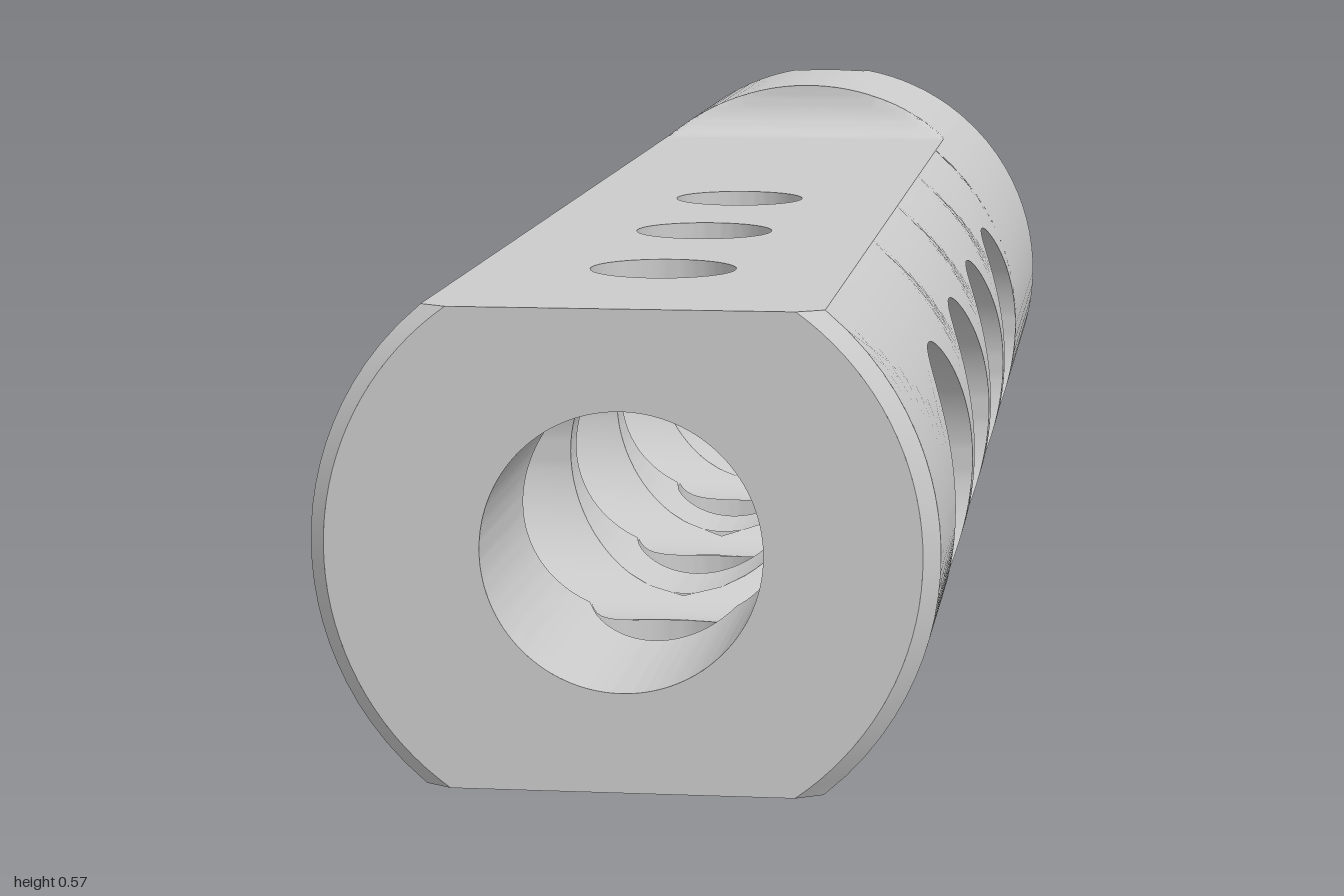
import * as THREE from 'three';
import { toCreasedNormals } from 'three/addons/utils/BufferGeometryUtils.js';

// Main dimensions, measured from the bore axis
const R = 0.285, BORE = 0.128, FLAT = 0.22, CHAMFER = 0.015;
const SIDE_R = 0.14, TOP_R = 0.07, NOTCH = 0.05;
const SIDE_Z = [0.634, 0.317, 0, -0.317], TOP_Z = [0.718, 0.409, 0.1];
const FRONT = 1 - CHAMFER;
const SIDE_END = -0.476, TOP_END = -0.055;      // where the drilled stretches stop
const RAMP_A = -0.62, RAMP_B = -0.67;           // concave ramp up to the rear collar

const arc = (r, t) => Math.sqrt(Math.max(0, r * r - t * t));
const lerp = THREE.MathUtils.lerp;
const FLAT_W = arc(R, FLAT);
const notchZ = x => -1 + arc(NOTCH, x);

// Adds a grid patch f(u, v) mirrored into all four quadrants;
// every triangle is wound to look along the direction facing(p).
function patch(out, nu, nv, f, facing) {
  const n = new THREE.Vector3(), e = new THREE.Vector3(), mid = new THREE.Vector3();
  const tri = (a, b, c) => {
    n.subVectors(b, a).cross(e.subVectors(c, a));
    if (n.length() < 1e-9) return;
    mid.copy(a).add(b).add(c).divideScalar(3);
    const pts = n.dot(facing(mid)) > 0 ? [a, b, c] : [a, c, b];
    for (const [sx, sy] of [[1, 1], [-1, 1], [1, -1], [-1, -1]]) {
      const order = sx * sy > 0 ? pts : [pts[0], pts[2], pts[1]];
      for (const p of order) out.push(p.x * sx, p.y * sy, p.z);
    }
  };
  const at = (i, j) => new THREE.Vector3(...f(i / nu, j / nv));
  for (let i = 0; i < nu; i++) {
    for (let j = 0; j < nv; j++) {
      const a = at(i, j), b = at(i + 1, j), c = at(i + 1, j + 1), d = at(i, j + 1);
      tri(a, b, c);
      tri(a, c, d);
    }
  }
}

// Splits the half turn round a hole at the corners of its rectangular cell
function cellSpans(back, front, h) {
  const a = Math.atan2(h, front), b = Math.PI - Math.atan2(h, back);
  return [[0, a], [a, b], [b, Math.PI]];
}

// Point between the rim of a hole (v = 0) and its cell border (v = 1)
function cellPoint(phi, v, rad, back, front, h) {
  const c = Math.cos(phi), s = Math.sin(phi);
  const d = Math.min((c > 0 ? front : back) / Math.max(1e-9, Math.abs(c)), h / Math.max(1e-9, s));
  const r = lerp(rad, d, v);
  return [r * c, r * s];
}

const outward = p => new THREE.Vector3(p.x, p.y, 0);
const inward = p => new THREE.Vector3(-p.x, -p.y, 0);
const up = () => new THREE.Vector3(0, 1, 0);
const toFront = () => new THREE.Vector3(0, 0, 1);
const toBack = () => new THREE.Vector3(0, 0, -1);

// Curved flanks with four large cross holes
function buildSides(skin, ports) {
  const half = SIDE_Z[0] - SIDE_Z[1];
  SIDE_Z.forEach((zc, i) => {
    const back = half / 2, front = i === 0 ? FRONT - zc : half / 2;
    for (const [p0, p1] of cellSpans(back, front, FLAT)) {
      patch(skin, 14, 7, (u, v) => {
        const [dz, y] = cellPoint(lerp(p0, p1, u), v, SIDE_R, back, front, FLAT);
        return [arc(R, y), y, zc + dz];
      }, outward);
      // Hole wall, from the bore or crossing top hole out to the flank
      patch(ports, 14, 5, (u, v) => {
        const phi = lerp(p0, p1, u);
        const y = SIDE_R * Math.sin(phi), z = zc + SIDE_R * Math.cos(phi);
        const x0 = Math.max(arc(BORE, y), ...TOP_Z.map(zt => arc(TOP_R, z - zt)));
        return [lerp(x0, arc(R, y), v), y, z];
      }, p => new THREE.Vector3(0, -p.y, zc - p.z));
    }
  });
  patch(skin, 12, 4, (u, v) => [arc(R, FLAT * u), FLAT * u, lerp(-1, SIDE_END, v)], outward);
  // Front chamfer
  patch(skin, 12, 1, (u, v) =>
    [arc(R - CHAMFER * v, FLAT * u), FLAT * u, FRONT + CHAMFER * v], outward);
}

// Flats with three small vertical holes, and the round rear collar
function buildFlats(skin, collar, ports) {
  const half = (TOP_Z[0] - TOP_Z[1]) / 2;
  TOP_Z.forEach((zc, i) => {
    const back = i === 2 ? zc - TOP_END : half, front = i === 0 ? FRONT - zc : half;
    for (const [p0, p1] of cellSpans(back, front, FLAT_W)) {
      patch(skin, 10, 3, (u, v) => {
        const [dz, x] = cellPoint(lerp(p0, p1, u), v, TOP_R, back, front, FLAT_W);
        return [x, FLAT, zc + dz];
      }, up);
      patch(ports, 10, 3, (u, v) => {
        const phi = lerp(p0, p1, u);
        const x = TOP_R * Math.sin(phi), z = zc + TOP_R * Math.cos(phi);
        const y0 = Math.max(arc(BORE, x), ...SIDE_Z.map(zs => arc(SIDE_R, z - zs)));
        return [x, lerp(y0, FLAT, v), z];
      }, p => new THREE.Vector3(-p.x, 0, zc - p.z));
    }
  });
  patch(skin, 6, 1, (u, v) =>
    [u * lerp(FLAT_W, arc(R - CHAMFER, FLAT), v), FLAT, FRONT + CHAMFER * v], up);
  patch(skin, 6, 4, (u, v) => [u * FLAT_W, FLAT, lerp(RAMP_A, TOP_END, v)], up);

  // Concave ramp, clipped by the round collar
  patch(collar, 24, 16, (u, v) => {
    const t = Math.sin(v * Math.PI / 2), x = u * FLAT_W;
    const y = FLAT + (R - FLAT) * (1 - arc(1, t));
    return [x, Math.min(arc(R, x), y), lerp(RAMP_A, RAMP_B, t)];
  }, () => new THREE.Vector3(0, 1, 0.2));
  // Collar top, notched at the back
  const top = (x, v) => [x, arc(R, x), lerp(notchZ(x), RAMP_B, v)];
  patch(collar, 8, 3, (u, v) => top(NOTCH * Math.sin(u * Math.PI / 2), v), outward);
  patch(collar, 8, 3, (u, v) => top(lerp(NOTCH, FLAT_W, u), v), outward);
}

// Bore, cut into rings by the cross holes
function buildBore(out) {
  const edge = Math.asin(NOTCH / BORE);
  for (const [a0, a1, n] of [[0, edge, 14], [edge, Math.PI / 2, 24]]) {
    const ring = (from, to) => patch(out, n, 4, (u, v) => {
      const a = lerp(a0, a1, u), x = BORE * Math.sin(a), y = BORE * Math.cos(a);
      return [x, y, lerp(from(x, y), to(x, y), v)];
    }, inward);
    SIDE_Z.forEach((zc, i) => ring(
      (x, y) => Math.max(zc + arc(SIDE_R, y),
        i < 3 && x < TOP_R ? TOP_Z[i] + arc(TOP_R, x) : -1),
      (x, y) => i === 0 ? 1 : SIDE_Z[i - 1] - arc(SIDE_R, y)));
    ring(x => notchZ(x), (x, y) => SIDE_Z[3] - arc(SIDE_R, y));
  }
}

// Front face: from the bore to the flat-sided outline
function buildFrontFace(out) {
  const r = R - CHAMFER, corner = Math.asin(FLAT / r);
  for (const [a0, a1] of [[0, corner], [corner, Math.PI / 2]]) {
    patch(out, 18, 2, (u, v) => {
      const a = lerp(a0, a1, u);
      const d = lerp(BORE, Math.min(r, FLAT / Math.max(1e-9, Math.sin(a))), v);
      return [d * Math.cos(a), d * Math.sin(a), 1];
    }, toFront);
  }
}

// Rear face either side of the notch
function buildRearFace(out) {
  patch(out, 28, 1, (u, v) => {
    const point = r => {
      const a = lerp(Math.asin(NOTCH / r), Math.PI / 2, u);
      return [r * Math.sin(a), r * Math.cos(a)];
    };
    const p = point(BORE), q = point(R);
    return [lerp(p[0], q[0], v), lerp(p[1], q[1], v), -1];
  }, toBack);
}

// Rounded notch across the rear face
function buildNotch(out) {
  patch(out, 8, 2, (u, v) => {
    const x = NOTCH * Math.sin(u * Math.PI / 2);
    return [x, lerp(arc(BORE, x), arc(R, x), v), notchZ(x)];
  }, p => new THREE.Vector3(-p.x, 0, -1 - p.z));
}

export function createModel() {
  const group = new THREE.Group();
  group.name = 'portedTube';
  const material = new THREE.MeshStandardMaterial({ color: 0xcccccc });
  const parts = { sideWalls: [], flats: [], rearCollar: [], sidePorts: [], topPorts: [],
    bore: [], frontFace: [], rearFace: [], rearNotch: [] };
  buildSides(parts.sideWalls, parts.sidePorts);
  buildFlats(parts.flats, parts.rearCollar, parts.topPorts);
  buildBore(parts.bore);
  buildFrontFace(parts.frontFace);
  buildRearFace(parts.rearFace);
  buildNotch(parts.rearNotch);
  for (const [name, points] of Object.entries(parts)) {
    const geometry = new THREE.BufferGeometry();
    geometry.setAttribute('position', new THREE.Float32BufferAttribute(points, 3));
    const mesh = new THREE.Mesh(toCreasedNormals(geometry, 0.6), material);
    mesh.name = name;
    mesh.position.y = R;
    group.add(mesh);
  }
  return group;
}
